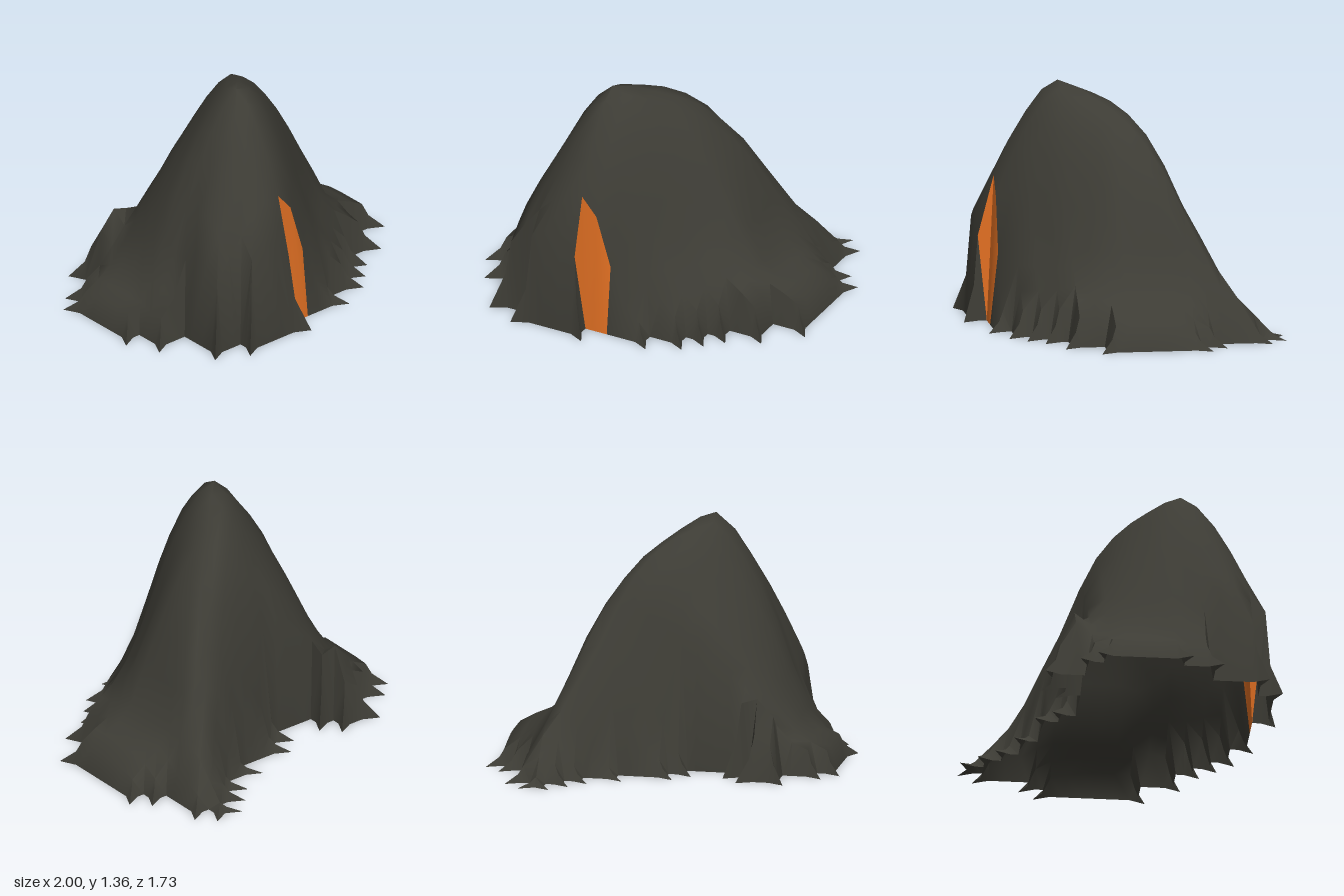
import * as THREE from 'three';
import { mergeVertices, toCreasedNormals } from 'three/addons/utils/BufferGeometryUtils.js';

const CELL = 1 / 11;
const Z0 = 0.046;

// One entry per row of the cloth, from back to front:
// [row, first column, last column, crest column, crest height, left foot, right foot]
const ROWS = [
  [-9, 7, 7, 7, 0.05, 6, 8],
  [-8, 6, 8, 7, 0.16, 5, 9],
  [-7, 5, 8, 6.7, 0.28, 4.5, 9],
  [-6, 3, 8, 6, 0.4, 2.8, 9],
  [-5, 0, 9, 5, 0.58, -0.5, 9.5],
  [-4, -1, 10, 4.2, 0.75, -1.5, 10],
  [-3, -9, 10, 3, 0.97, -10, 10],
  [-2, -10, 10, 2, 1.13, -10, 10],
  [-1, -10, 10, 1, 1.23, -10, 10],
  [0, -10, 10, 0, 1.29, -10, 10],
  [1, -10, 10, -0.7, 1.33, -10, 10],
  [2, -10, 8, -1.4, 1.37, -10, 8.3],
  [3, -9, 8, -2, 1.39, -9, 8],
  [4, -9, 6, -2, 1.33, -9, 6.2],
  [5, -7, 5, -2.1, 1.21, -10, 5.2],
  [6, -7, 4, -2.1, 1.05, -10, 4.2],
  [7, -7, 2, -2.1, 0.87, -10, 1.7],
  [8, -5, -2, -3.5, 0.62, -10, 1],
];
const rowAt = new Map(ROWS.map((r) => [r[0], r]));

// Greatest height allowed in each column, from x = -10 cells to x = 10 cells
const COLUMN_TOP = [0.13, 0.17, 0.26, 0.56, 0.83, 1, 1.16, 1.29, 1.39, 1.35, 1.29,
  1.23, 1.16, 1.05, 0.92, 0.75, 0.52, 0.3, 0.23, 0.19, 0.14];

// Slope of the cloth from the crest to the foot on either side
const LEFT_SLOPE = [1, 0.95, 0.84, 0.71, 0.54, 0.33, 0.18, 0.11];
const RIGHT_SLOPE = [1, 0.95, 0.83, 0.66, 0.45, 0.28, 0.2, 0.12];
function slope(table, t) {
  const s = Math.min(Math.max(t, 0), 1) * (table.length - 1);
  const k = Math.min(Math.floor(s), table.length - 2);
  return THREE.MathUtils.lerp(table[k], table[k + 1], s - k);
}

// Small lobe at the back right corner: heights by row, from column -7
const LOBE = { '-4': [0.35, 0.52, 0.42], '-5': [0.2, 0.25] };
const lobeHeight = (i, j) => LOBE[j]?.[i + 7];

function inside(i, j) {
  const r = rowAt.get(j);
  return lobeHeight(i, j) !== undefined || (!!r && i >= r[1] && i <= r[2]);
}

function rawHeight(i, j) {
  const lobe = lobeHeight(i, j);
  if (lobe !== undefined) return lobe;
  const [, , , crest, top, left, right] = rowAt.get(j);
  const f = i < crest
    ? slope(LEFT_SLOPE, (crest - i) / (crest - left))
    : slope(RIGHT_SLOPE, (i - crest) / (right - crest));
  return Math.min(top * f, COLUMN_TOP[i + 10]);
}

// Soften the cloth away from its rim
function height(i, j) {
  const around = [[i + 1, j], [i - 1, j], [i, j + 1], [i, j - 1]];
  const h = rawHeight(i, j);
  if (!around.every(([a, b]) => inside(a, b))) return h;
  return h * 0.6 + around.reduce((sum, [a, b]) => sum + rawHeight(a, b), 0) * 0.1;
}

const ground = (i, j) => [i * CELL, 0, Z0 + j * CELL];
const onCloth = (i, j) => [i * CELL, height(i, j), Z0 + j * CELL];

// Triangles of one cloth cell; rim cells drop to the ground and pull corners into pegs
function cellTriangles(i, j) {
  const c = [[i, j], [i, j + 1], [i + 1, j + 1], [i + 1, j]];
  const flag = c.map(([a, b]) => inside(a, b));
  const count = flag.filter(Boolean).length;
  if (!count) return [];
  let start = flag.indexOf(true);
  if (count === 3) start = (flag.indexOf(false) + 2) % 4;
  if (count === 4) start = 1;
  const p = [];
  for (let n = 0; n < 4; n++) {
    const k = (start + n) % 4, next = (k + 1) % 4;
    if (flag[k]) p.push(onCloth(...c[k]));
    else if (count === 1 && flag[(k + 2) % 4]) p.push(ground(...c[k]));
    else if (count === 3) p.push(ground(i + 0.5, j + 0.5));
    if (flag[k] !== flag[next]) {
      p.push(ground((c[k][0] + c[next][0]) / 2, (c[k][1] + c[next][1]) / 2));
    }
  }
  let order = [[0, 1, 2], [0, 2, 3]];
  if (count === 3) order = [[1, 2, 3], [0, 1, 3], [0, 3, 5], [3, 4, 5]];
  if (count === 1) {
    // The peg hangs steeply, then flares to its tip
    const q = p[0].map((v, a) => THREE.MathUtils.lerp(v, p[2][a], 0.28));
    q[1] = Math.min(p[0][1] * 0.5, 0.2);
    p.push(q);
    order = [[0, 1, 4], [4, 1, 2], [4, 2, 3], [0, 4, 3]];
  }
  return order.map((t) => t.flatMap((k) => p[k]));
}

function sheet(name, material, accepts) {
  const pos = [];
  for (let j = -10; j <= 8; j++) {
    for (let i = -11; i <= 10; i++) {
      cellTriangles(i, j).forEach((t, k) => {
        if (accepts(i, j, k)) pos.push(...t);
      });
    }
  }
  let geo = new THREE.BufferGeometry();
  geo.setAttribute('position', new THREE.Float32BufferAttribute(pos, 3));
  geo = toCreasedNormals(mergeVertices(geo), 0.95);
  const mesh = new THREE.Mesh(geo, material);
  mesh.name = name;
  return mesh;
}

export function createModel() {
  const canvas = new THREE.MeshStandardMaterial({ color: 0x3d3c35, side: THREE.DoubleSide });
  canvas.name = 'dark canvas';
  const orange = new THREE.MeshStandardMaterial({ color: 0xde6e22, side: THREE.DoubleSide });
  orange.name = 'orange door';

  // The door fills two rim cells at the front, except the fold beside the peg
  const isDoor = (i, j, k) => j === 7 && ((i === -2 && k > 0) || i === -1);

  const group = new THREE.Group();
  group.name = 'tent';
  group.add(sheet('drapedCanvas', canvas, (i, j, k) => !isDoor(i, j, k)));
  group.add(sheet('doorFlap', orange, isDoor));
  return group;
}
